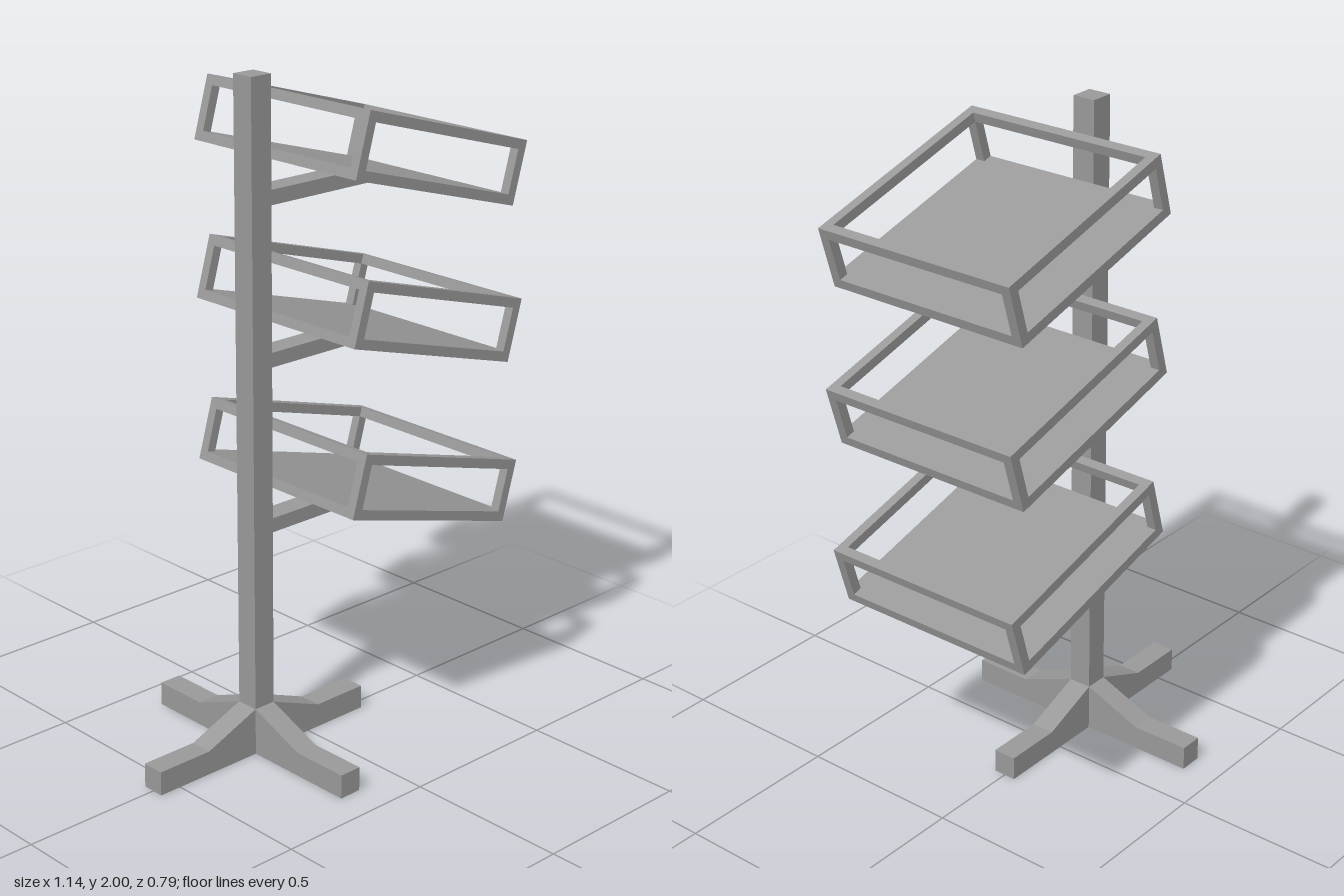
import * as THREE from 'three';

const POST_X = -0.175, POST_W = 0.071;
const TILT = THREE.MathUtils.degToRad(-16.05);
const TRAY = { length: 0.643, height: 0.187, depth: 0.648, rail: 0.029 };

export function createModel() {
  const model = new THREE.Group();
  model.name = 'tieredTrayStand';
  const grey = new THREE.MeshStandardMaterial({ color: 0x999999 });
  grey.name = 'grey';

  const box = (parent, name, w, h, d, x, y, z) => {
    const mesh = new THREE.Mesh(new THREE.BoxGeometry(w, h, d), grey);
    mesh.name = name;
    mesh.position.set(x, y, z);
    parent.add(mesh);
    return mesh;
  };

  // Side profile extruded symmetrically about z = 0
  const profile = (parent, name, points, depth) => {
    const shape = new THREE.Shape(points.map(([x, y]) => new THREE.Vector2(x, y)));
    const geometry = new THREE.ExtrudeGeometry(shape, { depth, bevelEnabled: false });
    geometry.translate(0, 0, -depth / 2);
    const mesh = new THREE.Mesh(geometry, grey);
    mesh.name = name;
    parent.add(mesh);
    return mesh;
  };

  // Upright post
  box(model, 'post', POST_W, 2, POST_W, POST_X, 1, 0);

  // Four feet, each with a sloped brace rising to the post
  const inner = POST_W / 2;
  for (let i = 0; i < 4; i++) {
    const foot = profile(model, 'foot', [
      [inner, 0], [0.395, 0], [0.395, 0.073], [0.215, 0.073], [inner, 0.145],
    ], POST_W);
    foot.position.x = POST_X;
    foot.rotation.y = i * Math.PI / 2;
  }

  // Three tilted open trays on support arms
  for (const y of [1.756, 1.293, 0.798]) {
    const { length: L, height: H, depth: D, rail: R } = TRAY;
    const tray = new THREE.Group();
    tray.name = 'tray';
    tray.position.set(0.231, y, 0);
    tray.rotation.z = TILT;
    model.add(tray);

    box(tray, 'trayFloor', L, R, D, 0, -H / 2 + R / 2, 0);
    for (const s of [-1, 1]) {
      box(tray, 'sideRail', L, R, R, 0, H / 2 - R / 2, s * (D - R) / 2);
      box(tray, 'endRail', R, R, D - 2 * R, s * (L - R) / 2, H / 2 - R / 2, 0);
      for (const t of [-1, 1]) {
        box(tray, 'cornerPost', R, H - 2 * R, R, s * (L - R) / 2, 0, t * (D - R) / 2);
      }
    }

    // Arm cut along the slope of the tray's underside
    const arm = profile(model, 'supportArm', [
      [POST_X + inner, -0.116], [0.295, -0.116], [0.146, -0.073], [POST_X + inner, -0.073],
    ], POST_W);
    arm.position.y = y;
  }

  return model;
}
